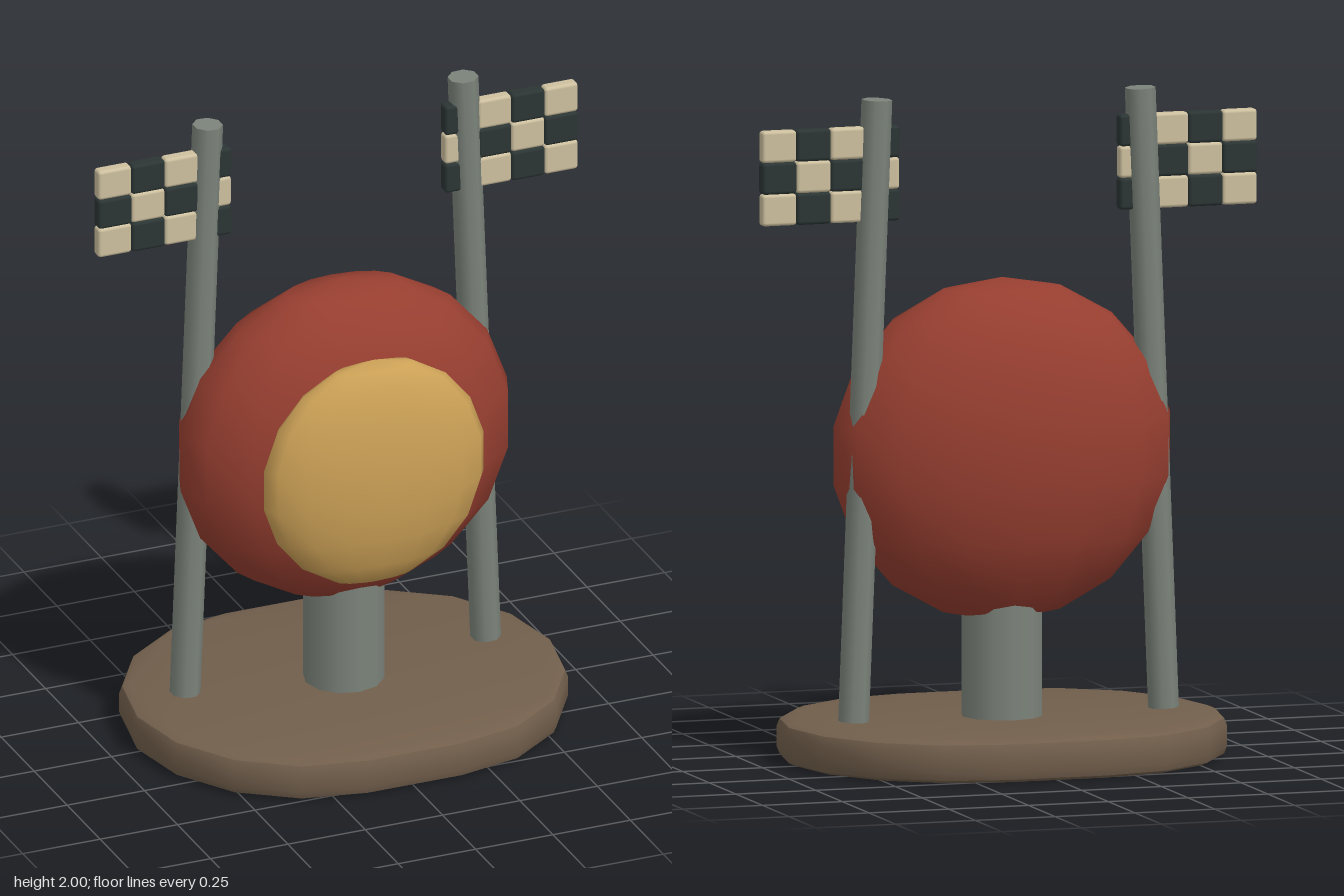
import * as THREE from 'three';
import { toCreasedNormals } from 'three/addons/utils/BufferGeometryUtils.js';
import { RoundedBoxGeometry } from 'three/addons/geometries/RoundedBoxGeometry.js';

function material(name, color) {
  const m = new THREE.MeshStandardMaterial({ color });
  m.name = name;
  return m;
}

export function createModel() {
  const red = material('red', 0x963e30);
  const gold = material('gold', 0xcba056);
  const brown = material('brown', 0x725f4c);
  const grey = material('grey', 0x7b837a);
  const cream = material('cream', 0xcdc09f);
  const dark = material('dark', 0x2b3534);

  const model = new THREE.Group();
  const add = (parent, name, geometry, mat, x = 0, y = 0, z = 0) => {
    const mesh = new THREE.Mesh(geometry, mat);
    mesh.name = name;
    mesh.position.set(x, y, z);
    parent.add(mesh);
    return mesh;
  };

  // Base: two half ellipses joined by straight edges, with rounded rims
  const outline = [];
  for (let side = 0; side < 2; side++) {
    for (let i = 0; i <= 8; i++) {
      const a = -Math.PI / 2 + side * Math.PI + (i * Math.PI) / 8;
      outline.push(new THREE.Vector2((side ? -0.15 : 0.15) + 0.495 * Math.cos(a), 0.52 * Math.sin(a)));
    }
  }
  const baseGeometry = new THREE.ExtrudeGeometry(new THREE.Shape(outline), {
    depth: 0.061, bevelThickness: 0.032, bevelSize: 0.03, bevelSegments: 2,
  });
  baseGeometry.rotateX(-Math.PI / 2);
  add(model, 'base', toCreasedNormals(baseGeometry, 0.7), brown, 0, 0.032, 0);

  // Central post, running up into the body
  add(model, 'post', new THREE.CylinderGeometry(0.122, 0.122, 0.39, 12), grey, 0, 0.305, 0);

  // Flattened body and the disc on its front
  const ball = new THREE.SphereGeometry(1, 16, 9);
  add(model, 'body', ball, red, 0, 0.925, 0).scale.set(0.535, 0.515, 0.279);
  add(model, 'frontDisc', ball, gold, 0, 0.905, 0.228).scale.set(0.36, 0.367, 0.118);

  // Leaning poles with chequered flags, mirrored left and right
  const poleBottom = 0.135, poleTop = 2, inset = 0.073;
  const poleGeometry = new THREE.CylinderGeometry(0.046, 0.046, poleTop - poleBottom, 8);
  poleGeometry.rotateY(Math.PI / 8);
  const tileW = 0.1075, tileH = 0.095;
  const creamTile = new RoundedBoxGeometry(tileW, tileH, 0.04, 2, 0.01);
  const darkTile = new RoundedBoxGeometry(tileW, tileH, 0.044, 2, 0.01);
  for (const s of [1, -1]) {
    const label = s > 0 ? 'left' : 'right';
    const pole = add(model, label + 'Pole', poleGeometry, grey, s * 0.449, (poleBottom + poleTop) / 2, -0.063);
    pole.rotation.z = s * Math.atan(inset / (poleTop - poleBottom));

    const flag = new THREE.Group();
    flag.name = label + 'Flag';
    flag.position.set(s * 0.345, 1.635, -0.058);
    for (let col = 0; col < 4; col++) {
      for (let row = 0; row < 3; row++) {
        const isDark = (col + row) % 2 === 0;
        add(flag, 'flagTile', isDark ? darkTile : creamTile, isDark ? dark : cream,
          s * (col + 0.5) * tileW, (row + 0.5) * tileH, 0);
      }
    }
    model.add(flag);
  }
  return model;
}
